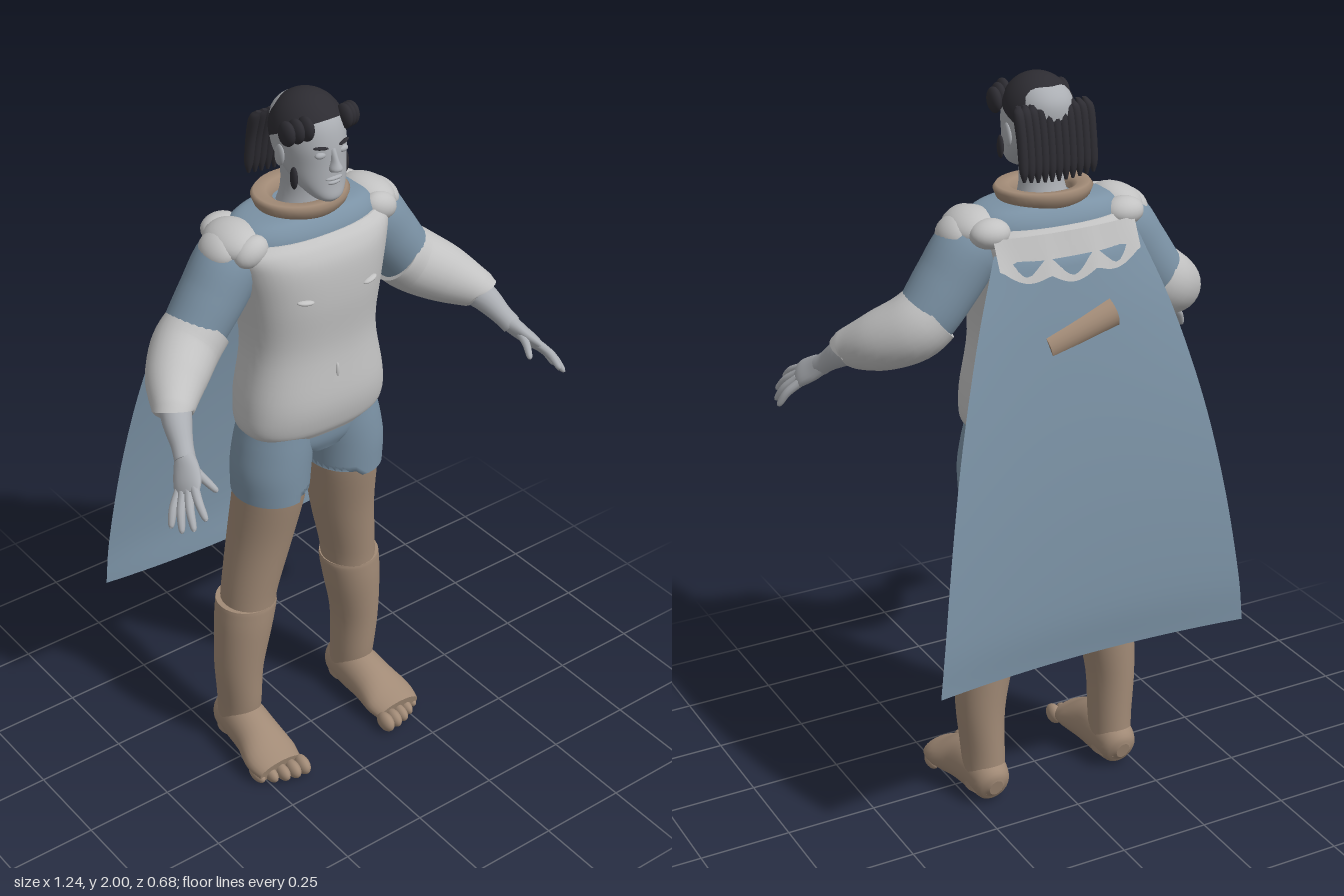
import * as THREE from 'three';

const mat = (name, color, side = THREE.FrontSide) => {
  const m = new THREE.MeshStandardMaterial({ color, side });
  m.name = name;
  return m;
};

// Smooth skin over sections [x, y, z, halfWidth, halfDepth].
// level: rings stay horizontal (sections run upward); otherwise they follow the path.
function loft(sections, { level = false, power = 2, seg = 28, sub = 5, ref = [0, 0, 1] } = {}) {
  const path = new THREE.CatmullRomCurve3(sections.map(s => new THREE.Vector3(s[0], s[1], s[2])), false, 'catmullrom');
  const size = new THREE.CatmullRomCurve3(sections.map(s => new THREE.Vector3(s[3], s[4] ?? s[3], 0)), false, 'catmullrom');
  const n = (sections.length - 1) * sub, pos = [], idx = [];
  const up = new THREE.Vector3(...ref), u = new THREE.Vector3(1, 0, 0), v = new THREE.Vector3(0, 0, -1);
  const bend = a => Math.sign(a) * Math.pow(Math.abs(a), 2 / power);
  const ring = i => {
    const c = path.getPoint(i / n), r = size.getPoint(i / n);
    if (!level) {
      const t = path.getTangent(i / n);
      u.crossVectors(up, t).normalize();
      v.crossVectors(t, u);
    }
    for (let j = 0; j < seg; j++) {
      const a = j / seg * Math.PI * 2;
      const p = c.clone().addScaledVector(u, r.x * bend(Math.cos(a))).addScaledVector(v, r.y * bend(Math.sin(a)));
      pos.push(p.x, p.y, p.z);
    }
    return c;
  };
  for (let i = 0; i <= n; i++) ring(i);
  for (let i = 0; i < n; i++) for (let j = 0; j < seg; j++) {
    const a = i * seg + j, b = i * seg + (j + 1) % seg;
    idx.push(a, b, a + seg, b, b + seg, a + seg);
  }
  // end caps with their own corners, so the rims stay crisp
  for (const end of [0, n]) {
    const base = pos.length / 3, c = ring(end);
    pos.push(c.x, c.y, c.z);
    for (let j = 0; j < seg; j++) {
      const a = base + j, b = base + (j + 1) % seg;
      idx.push(base + seg, ...(end ? [a, b] : [b, a]));
    }
  }
  const g = new THREE.BufferGeometry();
  g.setAttribute('position', new THREE.Float32BufferAttribute(pos, 3));
  g.setIndex(idx);
  g.computeVertexNormals();
  return g;
}

export function createModel() {
  const root = new THREE.Group();
  const shirt = mat('pale grey cloth', 0xc2c2c2), skin = mat('grey skin', 0xabaeb3);
  const blue = mat('blue cloth', 0x7b92a5, THREE.DoubleSide), tan = mat('tan leather', 0xa18a76);
  const hair = mat('black hair', 0x2d2c32, THREE.DoubleSide);

  const add = (name, geo, material) => {
    const m = new THREE.Mesh(geo, material);
    m.name = name;
    root.add(m);
    return m;
  };
  const blob = (name, material, p, r, rot = [0, 0, 0]) => {
    const m = add(name, new THREE.SphereGeometry(1, 20, 14), material);
    m.position.set(...p);
    m.scale.set(...r);
    m.rotation.set(...rot);
    return m;
  };

  // Torso
  add('tunic', loft([
    [0, 1.065, -0.015, 0.185, 0.105], [0, 1.1, -0.012, 0.212, 0.12], [0, 1.18, -0.013, 0.21, 0.133],
    [0, 1.33, -0.015, 0.186, 0.125], [0, 1.47, -0.02, 0.2, 0.142], [0, 1.57, -0.03, 0.222, 0.15],
    [0, 1.62, -0.04, 0.236, 0.142], [0, 1.645, -0.045, 0.215, 0.122]], { level: true, power: 2.5, seg: 48 }), shirt);
  add('yoke', loft([[0, 1.6, -0.045, 0.22, 0.125], [0, 1.65, -0.045, 0.215, 0.118],
    [0, 1.682, -0.045, 0.18, 0.1], [0, 1.695, -0.045, 0.1, 0.08]], { level: true, power: 2.3, seg: 40 }), blue);
  blob('navel', shirt, [0, 1.265, 0.112], [0.006, 0.022, 0.006]);
  const collar = add('collar', new THREE.LatheGeometry(
    [[0.075, 1.685], [0.108, 1.68], [0.122, 1.695], [0.13, 1.715], [0.122, 1.726], [0.09, 1.722], [0.075, 1.71], [0.075, 1.685]]
      .map(p => new THREE.Vector2(...p)), 40), tan);
  collar.scale.z = 0.88;
  collar.position.z = -0.045;

  // Hips
  add('shortsHips', loft([[0, 1.0, -0.02, 0.1, 0.09], [0, 1.04, -0.02, 0.195, 0.105],
    [0, 1.1, -0.02, 0.2, 0.11]], { level: true, power: 2.4, seg: 36 }), blue);

  for (const s of [1, -1]) {
    const side = s > 0 ? 'left' : 'right';
    const limb = (name, sections, material, opt) =>
      add(side + name, loft(sections.map(([x, ...r]) => [x * s, ...r]), opt), material);
    const lump = (name, material, [x, y, z], r, [a, b, c] = [0, 0, 0]) =>
      blob(side + name, material, [x * s, y, z], r, [a, b * s, c * s]);

    // Legs
    const shorts = limb('ShortsLeg', [[0.122, 0.88, -0.02, 0.102, 0.112], [0.12, 0.96, -0.018, 0.106, 0.113],
      [0.11, 1.03, -0.018, 0.105, 0.112], [0.1, 1.09, -0.018, 0.1, 0.108]], blue, { level: true, seg: 36 });
    const sp = shorts.geometry.attributes.position;
    for (let i = 0; i < sp.count; i++) // stepped hem, higher on the inner thigh
      if (sp.getY(i) < 0.89 && Math.abs(sp.getX(i)) < 0.1) sp.setY(i, 0.925);
    shorts.geometry.computeVertexNormals();
    limb('Thigh', [[0.175, 0.48, -0.06, 0.074, 0.08], [0.166, 0.56, -0.056, 0.077, 0.083], [0.138, 0.72, -0.045, 0.088, 0.095],
      [0.12, 0.88, -0.024, 0.096, 0.105], [0.115, 0.97, -0.02, 0.098, 0.106]], tan, { level: true });
    limb('Boot', [[0.2, 0.04, -0.085, 0.057, 0.06], [0.2, 0.14, -0.072, 0.058, 0.07], [0.203, 0.28, -0.066, 0.066, 0.076],
      [0.188, 0.42, -0.062, 0.08, 0.084], [0.179, 0.49, -0.061, 0.085, 0.085], [0.178, 0.51, -0.061, 0.084, 0.084]], tan, { level: true });
    limb('Foot', [[0.2, 0.06, -0.152, 0.02, 0.025], [0.2, 0.066, -0.13, 0.05, 0.058], [0.2, 0.078, -0.06, 0.061, 0.076],
      [0.204, 0.068, 0.02, 0.066, 0.066], [0.21, 0.05, 0.09, 0.078, 0.046], [0.21, 0.038, 0.14, 0.07, 0.034]], tan, { ref: [0, 1, 0] });
    for (let i = 0; i < 5; i++)
      lump('Toe', tan, [0.15 + i * 0.03, 0.032 - i * 0.002, 0.158 - i * i * 0.003], [0.019 - i * 0.001, 0.028 - i * 0.002, 0.034]);

    // Arms
    limb('Sleeve', [[0.15, 1.61, -0.055, 0.07], [0.21, 1.59, -0.05, 0.088], [0.27, 1.51, -0.047, 0.087],
      [0.325, 1.435, -0.045, 0.082], [0.36, 1.4, -0.035, 0.078]], blue);
    limb('Cuff', [[0.315, 1.435, -0.045, 0.086], [0.365, 1.395, -0.032, 0.088], [0.43, 1.355, 0.02, 0.078],
      [0.48, 1.325, 0.08, 0.056], [0.488, 1.317, 0.09, 0.05]], shirt);
    limb('Forearm', [[0.46, 1.335, 0.06, 0.043], [0.49, 1.305, 0.11, 0.038], [0.51, 1.268, 0.16, 0.028],
      [0.522, 1.245, 0.19, 0.027]], skin, { seg: 18 });
    limb('Palm', [[0.518, 1.252, 0.18, 0.024, 0.026], [0.533, 1.232, 0.21, 0.021, 0.038],
      [0.55, 1.212, 0.24, 0.018, 0.042], [0.561, 1.198, 0.258, 0.012, 0.036]], skin, { seg: 18 });
    const fingers = [ // base and tip
      [0.546, 1.218, 0.262, 0.566, 1.168, 0.34], [0.556, 1.208, 0.254, 0.594, 1.142, 0.328],
      [0.565, 1.198, 0.243, 0.61, 1.126, 0.298], [0.566, 1.193, 0.226, 0.618, 1.124, 0.262],
      [0.522, 1.24, 0.215, 0.5, 1.2, 0.294]];
    for (const [x, y, z, X, Y, Z] of fingers)
      limb('Finger', [[x, y, z, 0.012], [(x + X) / 2 + 0.004, (y + Y) / 2 + 0.005, (z + Z) / 2, 0.011],
        [X * 0.9 + x * 0.1, Y * 0.9 + y * 0.1, Z * 0.9 + z * 0.1, 0.008], [X, Y, Z, 0.002]], skin, { seg: 10, sub: 4 });

    // Shoulder pads and chest creases
    lump('ShoulderPad', shirt, [0.212, 1.645, -0.045], [0.065, 0.045, 0.085], [0, 0, -0.25]);
    lump('ShoulderPadFront', shirt, [0.2, 1.636, 0.022], [0.05, 0.038, 0.035], [0, 0, -0.4]);
    lump('ShoulderPadOuter', shirt, [0.25, 1.632, -0.045], [0.05, 0.038, 0.062], [0, 0, -0.7]);
    lump('ShoulderPadBack', shirt, [0.19, 1.64, -0.12], [0.055, 0.038, 0.045]);
    lump('ChestFold', shirt, [0.1, 1.498, 0.112], [0.024, 0.007, 0.012], [0, 0.2, 0.15]);

    // Face halves and hair tufts
    lump('Eye', skin, [0.033, 1.872, 0.082], [0.016, 0.009, 0.01]);
    lump('Brow', hair, [0.035, 1.892, 0.086], [0.02, 0.004, 0.006], [0, 0.35, 0.1]);
    lump('Ear', skin, [0.084, 1.85, -0.015], [0.008, 0.03, 0.018], [0.15, 0, 0]);
    lump('Sideburn', hair, [0.078, 1.805, 0.035], [0.008, 0.03, 0.013]);
    for (let i = 0; i < 3; i++)
      lump('FrontTuft', hair, [0.058 + i * 0.019, 1.94 - i * 0.006, 0.056 - i * 0.012], [0.016, 0.033, 0.03], [0.35, 0, 0]);
  }

  // Head
  add('neck', loft([[0, 1.66, -0.045, 0.075, 0.07], [0, 1.74, -0.035, 0.056, 0.056], [0, 1.83, -0.03, 0.06, 0.066]], { level: true }), skin);
  add('head', loft([[0, 1.742, 0.07, 0.02, 0.02], [0, 1.756, 0.058, 0.042, 0.043], [0, 1.79, 0.03, 0.066, 0.067],
    [0, 1.84, -0.006, 0.08, 0.1], [0, 1.89, -0.014, 0.085, 0.105], [0, 1.94, -0.02, 0.078, 0.097],
    [0, 1.975, -0.02, 0.054, 0.066], [0, 1.988, -0.02, 0.015, 0.02]], { level: true, power: 2.15, seg: 36 }), skin);
  add('nose', loft([[0, 1.826, 0.094, 0.012, 0.008], [0, 1.835, 0.1, 0.017, 0.019], [0, 1.855, 0.093, 0.01, 0.016],
    [0, 1.885, 0.084, 0.008, 0.01]], { level: true, seg: 16 }), skin);
  blob('upperLip', skin, [0, 1.807, 0.092], [0.025, 0.006, 0.01]);
  blob('lowerLip', skin, [0, 1.796, 0.09], [0.021, 0.007, 0.011]);
  blob('chin', skin, [0, 1.766, 0.082], [0.024, 0.019, 0.018]);

  // Hair cap and hanging strands
  const cap = add('hairCap', new THREE.SphereGeometry(1, 36, 20, 0, Math.PI * 2, 0, 1.5), hair);
  cap.geometry.rotateX(-0.5);
  cap.scale.set(0.092, 0.1, 0.104);
  cap.position.set(0, 1.9, -0.016);
  for (let i = 0; i < 11; i++) {
    const x = (i - 5) * 0.0195, k = x * x;
    add('hairStrand', loft([[x, 1.75 + k, -0.128, 0.004, 0.004], [x, 1.79, -0.126, 0.012, 0.011], [x, 1.86, -0.116, 0.013, 0.014],
      [x, 1.92, -0.1, 0.013, 0.016], [x * 0.95, 1.94, -0.088, 0.006, 0.008]], { level: true, seg: 10 }), hair);
  }

  // Cape: a sheet swept from shoulder width to its flared hem
  const rows = [[1.6, 0.205, -0.193], [1.4, 0.28, -0.235], [1.15, 0.35, -0.275], [0.9, 0.4, -0.302], [0.65, 0.437, -0.316], [0.505, 0.453, -0.308]];
  const fall = new THREE.CatmullRomCurve3(rows.map(([y, w, z]) => new THREE.Vector3(w, y, z)), false, 'catmullrom');
  const sheet = new THREE.PlaneGeometry(2, 1, 24, 40), cp = sheet.attributes.position;
  for (let i = 0; i < cp.count; i++) {
    const x = cp.getX(i), t = 0.5 - cp.getY(i), f = fall.getPoint(t), edge = x * x;
    const dip = t < 0.001 ? 0.03 * (1 - edge) : 0;
    cp.setXYZ(i, x * f.x, f.y - dip, f.z + edge * (0.022 - 0.055 * t));
  }
  sheet.computeVertexNormals();
  add('cape', sheet, blue);

  // Scalloped flap over the top of the cape
  const flap = new THREE.PlaneGeometry(0.4, 1, 32, 6), fp = flap.attributes.position;
  for (let i = 0; i < fp.count; i++) {
    const x = fp.getX(i), t = 0.5 - fp.getY(i);
    const hem = 1.565 - 0.022 * Math.abs(Math.cos(x * 24)) - 0.03 * (1 - x * x * 25);
    fp.setXYZ(i, -x, 1.635 + (hem - 1.635) * t, -0.178 - 0.035 * t + x * x * 0.5);
  }
  flap.computeVertexNormals();
  add('capeFlap', flap, mat('pale grey cloth flap', 0xc2c2c2, THREE.DoubleSide));

  // Pouch and bedroll at the back
  blob('backPouch', tan, [0.05, 1.3, -0.165], [0.15, 0.085, 0.058], [0.3, 0, -0.3]);
  const roll = add('backRoll', new THREE.CylinderGeometry(0.046, 0.046, 0.2, 24), tan);
  roll.rotation.z = Math.PI / 2 - 0.3;
  roll.position.set(-0.01, 1.385, -0.203);

  return root;
}
